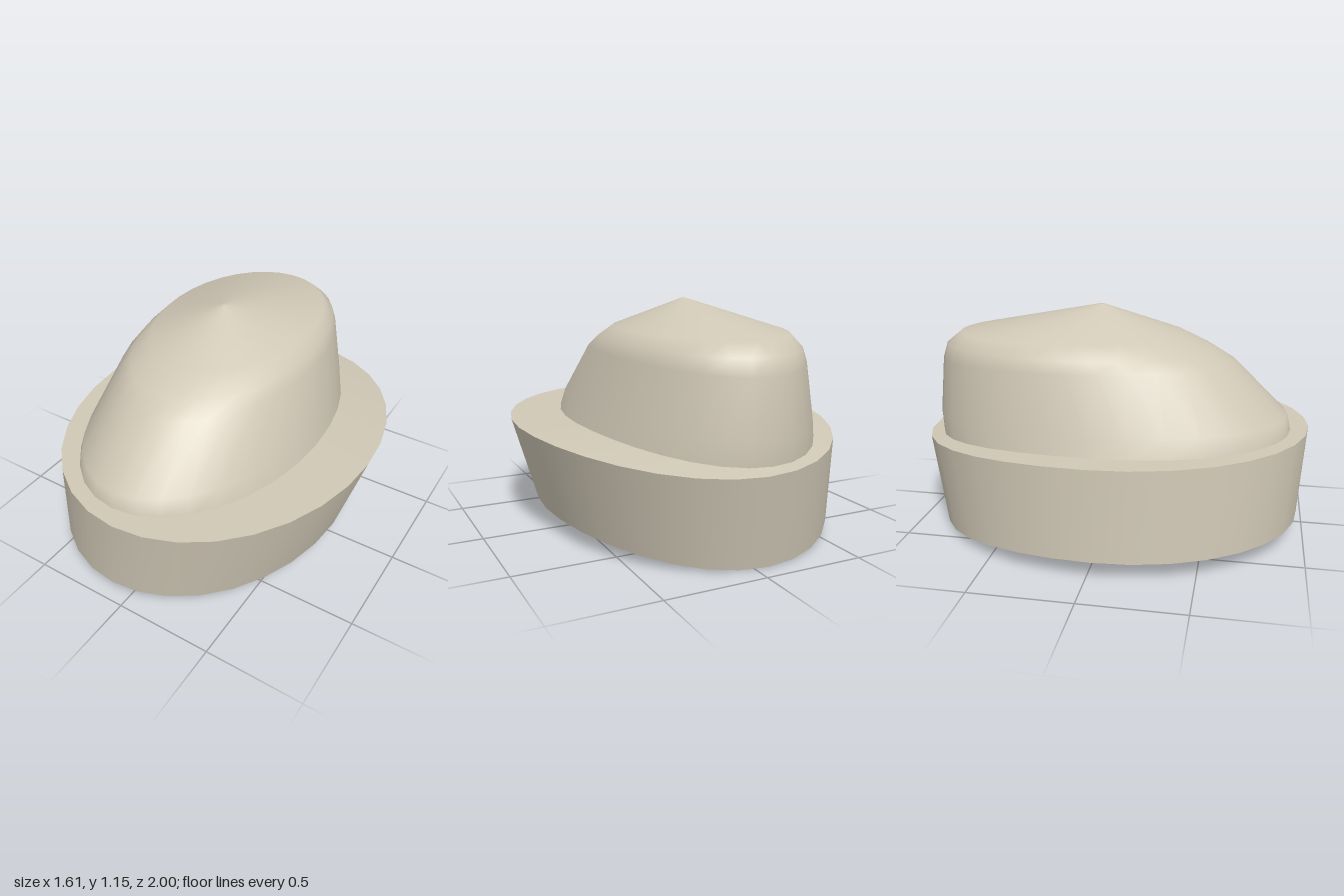
import * as THREE from 'three';

const SEGMENTS = 32;

// Oval ring of points; y is a function of (t, z), with t from -1 (back) to 1 (front)
function oval(cx, cz, rx, rz, yAt) {
  const points = [];
  for (let i = 0; i < SEGMENTS; i++) {
    const a = (i / SEGMENTS) * Math.PI * 2;
    const t = Math.cos(a);
    const z = cz + rz * t;
    points.push([cx + rx * Math.sin(a), yAt(t, z), z]);
  }
  return points;
}

// Smooth skin through a list of rings
function loft(rings) {
  const index = [];
  for (let r = 0; r < rings.length - 1; r++) {
    for (let i = 0; i < SEGMENTS; i++) {
      const j = (i + 1) % SEGMENTS;
      const a = r * SEGMENTS + i, b = r * SEGMENTS + j;
      index.push(a, b, b + SEGMENTS, a, b + SEGMENTS, a + SEGMENTS);
    }
  }
  const geometry = new THREE.BufferGeometry();
  geometry.setAttribute('position', new THREE.Float32BufferAttribute(rings.flat(2), 3));
  geometry.setIndex(index);
  geometry.computeVertexNormals();
  return geometry;
}

// Level in front, sagging toward the back
const sag = (level, amount) => (t, z) => level - amount * Math.min(z, 0) ** 2;

export function createModel() {
  const model = new THREE.Group();
  model.name = 'cap';
  const felt = new THREE.MeshStandardMaterial({ color: 0xd0c8b6 });
  felt.name = 'beige felt';
  const add = (name, rings, parent) => {
    const mesh = new THREE.Mesh(loft(rings), felt);
    mesh.name = name;
    parent.add(mesh);
  };

  // Flared, slightly lopsided turned-up band
  const band = new THREE.Group();
  band.name = 'band';
  model.add(band);
  const low = sag(0.095, 0.116), high = sag(0.54, 0.085), under = sag(0.53, 0.085);
  const outerBottom = oval(-0.07, 0.03, 0.735, 0.935, low);
  const outerTop = oval(0.005, 0, 0.795, 1, high);
  const innerBottom = oval(-0.07, 0.03, 0.705, 0.905, low);
  const innerTop = oval(0.005, 0, 0.765, 0.97, under);
  const crownSeat = oval(-0.07, -0.01, 0.55, 0.88, high);
  add('bandOuterWall', [outerBottom, outerTop], band);
  add('bandInnerWall', [innerTop, innerBottom], band);
  add('bandLowerRim', [innerBottom, outerBottom], band);
  add('bandTop', [outerTop, crownSeat], band);

  // Lining that closes the inside
  const lining = [0, 0.25, 0.5, 0.75, 1].map((s) => oval(0.005, 0, 0.765 * s, 0.97 * s, under));
  add('lining', lining, model);

  // Crown rings: front z, front y, back z, back y, half width, side y
  const crown = [
    [0.91, 0.525, -0.915, 0.445, 0.587, 0.53],
    [0.89, 0.62, -0.925, 0.58, 0.56, 0.62],
    [0.62, 0.88, -0.9, 0.86, 0.475, 0.9],
    [0.52, 0.94, -0.875, 0.94, 0.445, 0.955],
    [0.37, 1.01, -0.8, 1.0, 0.39, 1.015],
    [-0.045, 1.15, -0.075, 1.15, 0.015, 1.15],
    [-0.06, 1.15, -0.06, 1.15, 0, 1.15],
  ].map(([zf, yf, zb, yb, rx, ym]) =>
    oval(-0.07, (zf + zb) / 2, rx, (zf - zb) / 2,
      (t) => ym + ((yf - yb) / 2) * t + ((yf + yb) / 2 - ym) * t * t));
  add('crown', crown, model);

  return model;
}
